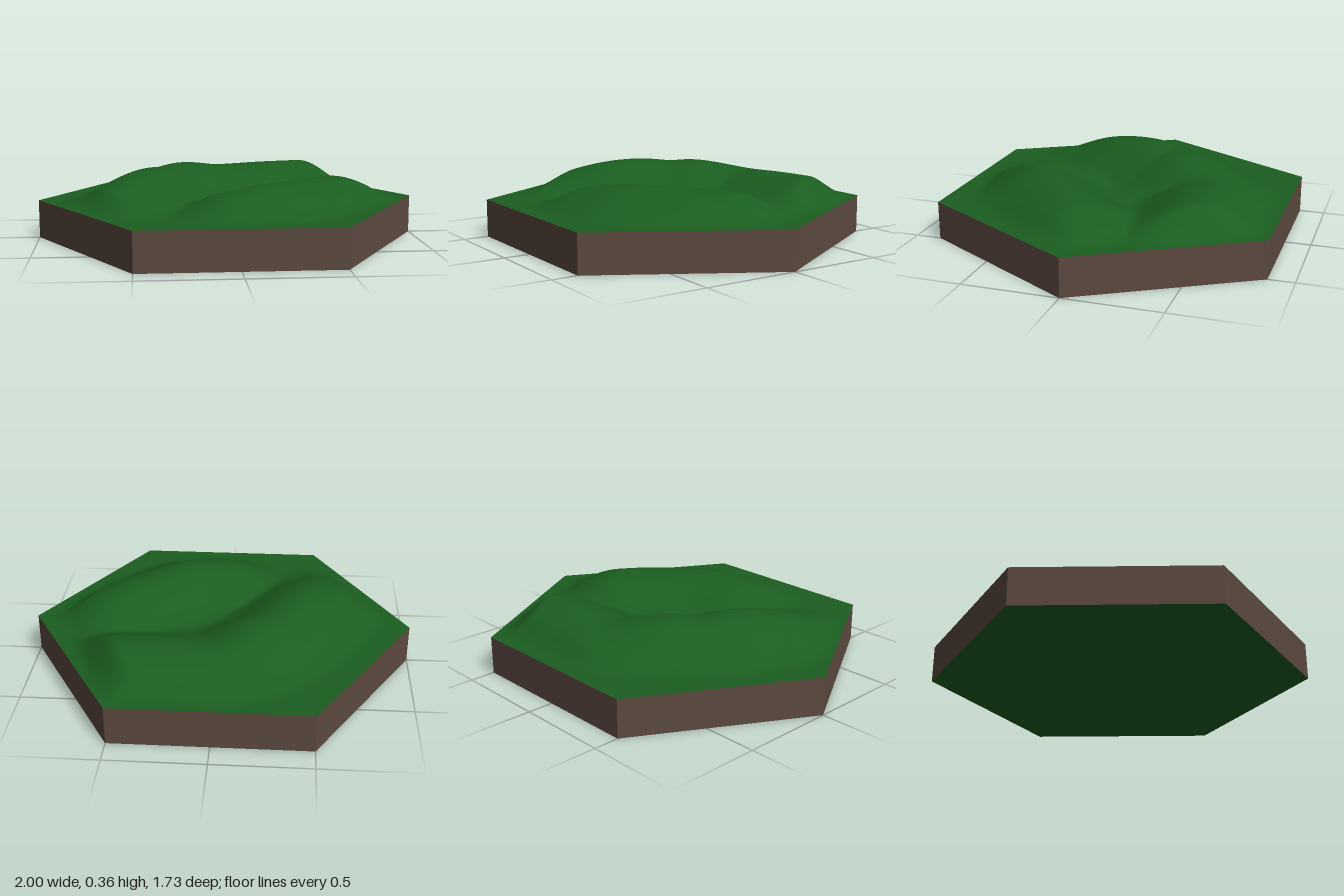
import * as THREE from 'three';
import { mergeVertices } from 'three/addons/utils/BufferGeometryUtils.js';

const BASE = 0.2;
const APOTHEM = Math.sqrt(3) / 2;

// Crest lines as [x, height above base, z], with the width of their slopes
const ridges = [
  {
    width: 0.41,
    crest: [[-0.58, 0.085, 0.3], [-0.47, 0.145, 0.13], [-0.4, 0.16, -0.03], [-0.31, 0.148, -0.18],
      [-0.22, 0.156, -0.28], [-0.02, 0.118, -0.46], [0.25, 0.127, -0.49], [0.48, 0.133, -0.5]],
  },
  {
    width: 0.38,
    crest: [[0.03, 0.112, 0.46], [0.2, 0.133, 0.4], [0.36, 0.13, 0.27], [0.48, 0.126, 0.16], [0.56, 0.12, 0.07]],
  },
].map(({ width, crest }) => ({
  width,
  samples: new THREE.CatmullRomCurve3(crest.map((p) => new THREE.Vector3(...p))).getSpacedPoints(80),
}));

// Height of one ridge: rounded slopes falling away from its crest line
function ridgeHeight({ width, samples }, x, z) {
  let h = 0;
  for (const s of samples) {
    const t = ((x - s.x) ** 2 + (z - s.z) ** 2) / (width * width);
    if (t < 1) h = Math.max(h, s.y * (1 - t) ** 2);
  }
  return h;
}

// Ridges blended together, easing to the flat rim
function terrainHeight(x, z, rimDistance) {
  const sum = ridges.reduce((a, r) => a + ridgeHeight(r, x, z) ** 2.5, 0);
  return BASE + sum ** 0.4 * THREE.MathUtils.smoothstep(rimDistance, 0, 0.2);
}

// Round grid squeezed into a hexagon, then raised into hills
function terrainGeometry() {
  let g = new THREE.RingGeometry(0, 1, 144, 64);
  g.rotateX(-Math.PI / 2);
  g.deleteAttribute('uv');
  g.deleteAttribute('normal');
  g = mergeVertices(g, 1e-5);
  const p = g.attributes.position;
  const sector = Math.PI / 3;
  for (let i = 0; i < p.count; i++) {
    const r = Math.hypot(p.getX(i), p.getZ(i));
    const a = Math.atan2(p.getZ(i), p.getX(i)) + 2 * Math.PI;
    const k = APOTHEM / Math.cos((a % sector) - sector / 2);
    const x = p.getX(i) * k;
    const z = p.getZ(i) * k;
    p.setXYZ(i, x, terrainHeight(x, z, APOTHEM * (1 - r)), z);
  }
  g.computeVertexNormals();
  return g;
}

export function createModel() {
  const group = new THREE.Group();
  group.name = 'hillTile';
  const grass = new THREE.MeshStandardMaterial({ color: 0x1b5e20 });
  const earth = new THREE.MeshStandardMaterial({ color: 0x5d4a40, flatShading: true, side: THREE.DoubleSide });
  const add = (name, geometry, material) => {
    const mesh = new THREE.Mesh(geometry, material);
    mesh.name = name;
    group.add(mesh);
    return mesh;
  };

  // Six earth walls, corners on the x axis
  const walls = new THREE.CylinderGeometry(1, 1, BASE, 6, 1, true);
  walls.rotateY(Math.PI / 6);
  add('earthSides', walls, earth).position.y = BASE / 2;

  // Underside
  const bottom = new THREE.CircleGeometry(1, 6);
  bottom.rotateX(Math.PI / 2);
  add('underside', bottom, grass);

  // Hilly top
  add('grassHills', terrainGeometry(), grass);
  return group;
}
